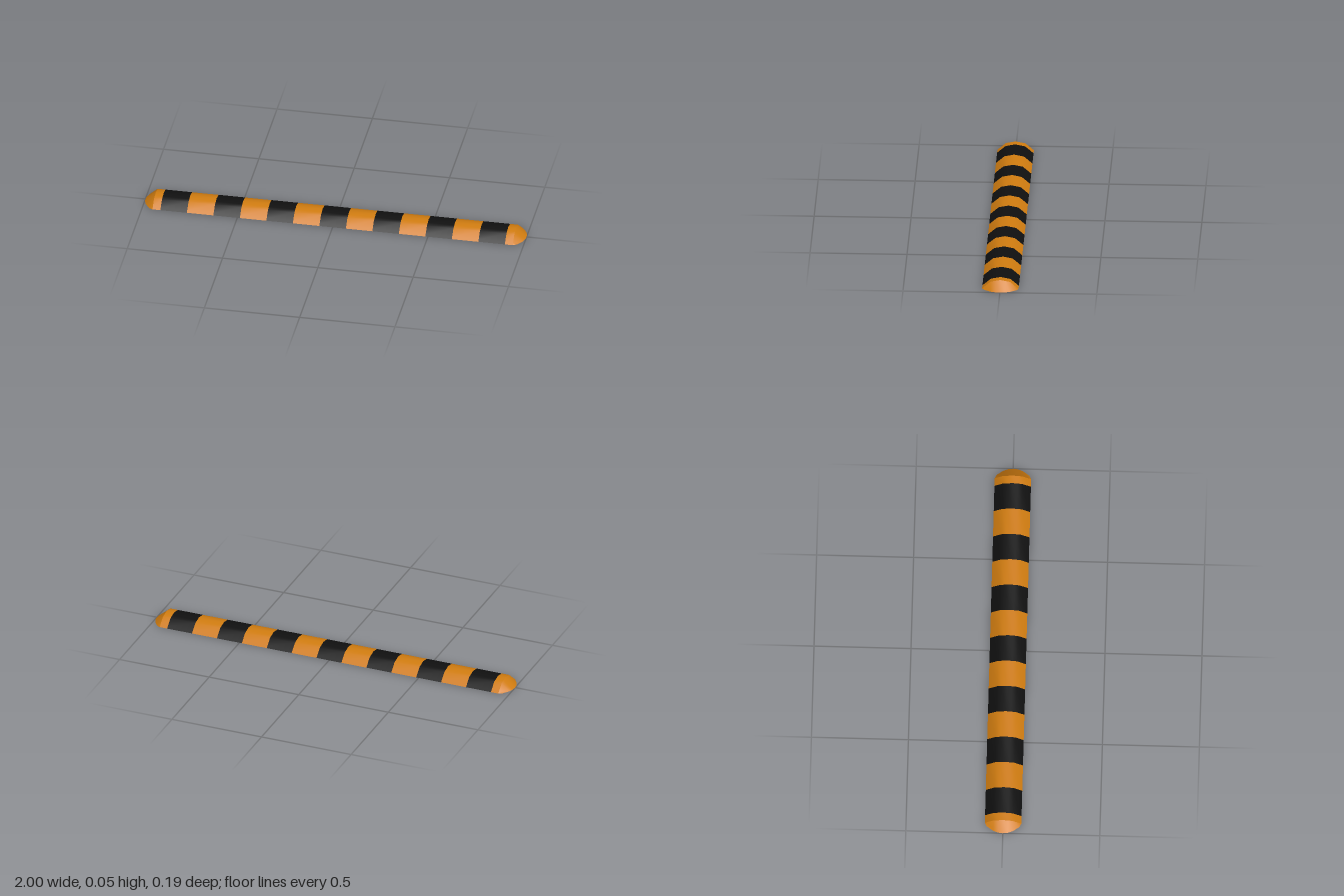
import * as THREE from 'three';

// Half of the arched cross-section: z, height, reach of the rounded end
const HALF = [
  [0.094, 0, 0.945],
  [0.084, 0.009, 0.964],
  [0.05, 0.038, 0.988],
  [0.025, 0.043, 0.997],
  [0, 0.048, 1],
];
const PROFILE = [...HALF, ...HALF.slice(0, -1).reverse().map(([z, y, x]) => [-z, y, x])];
const STRIPE = 0.139;
const BODY_END = 0.945;

// Surface between two rows of points running from +z to -z
function loft(rowA, rowB) {
  const n = rowA.length;
  const index = [];
  for (let i = 0; i < n - 1; i++) {
    index.push(i, n + i, n + i + 1, i, n + i + 1, i + 1);
  }
  const geometry = new THREE.BufferGeometry();
  geometry.setAttribute('position', new THREE.Float32BufferAttribute([...rowA, ...rowB].flat(), 3));
  geometry.setIndex(index);
  geometry.computeVertexNormals();
  return geometry;
}

const section = (x) => PROFILE.map(([z, y]) => [x, y, z]);
const groundArc = (side) => PROFILE.map(([z, , x]) => [side * x, 0, z]);

export function createModel() {
  const yellow = new THREE.MeshStandardMaterial({ color: 0xd07c10, side: THREE.DoubleSide });
  yellow.name = 'amberYellow';
  const black = new THREE.MeshStandardMaterial({ color: 0x101010, side: THREE.DoubleSide });
  black.name = 'rubberBlack';

  const model = new THREE.Group();
  model.name = 'speedBump';
  const add = (name, geometry, material) => {
    const mesh = new THREE.Mesh(geometry, material);
    mesh.name = name;
    model.add(mesh);
  };

  // Alternating bands, open underneath; the outermost two are short
  for (let k = -7; k <= 7; k++) {
    const x0 = Math.max((k - 0.5) * STRIPE, -BODY_END);
    const x1 = Math.min((k + 0.5) * STRIPE, BODY_END);
    const isBlack = k % 2 === 0;
    add(isBlack ? 'blackBand' : 'yellowBand', loft(section(x0), section(x1)), isBlack ? black : yellow);
  }

  // Sloped, rounded ends
  add('leftEnd', loft(section(BODY_END), groundArc(1)), yellow);
  add('rightEnd', loft(groundArc(-1), section(-BODY_END)), yellow);

  return model;
}
